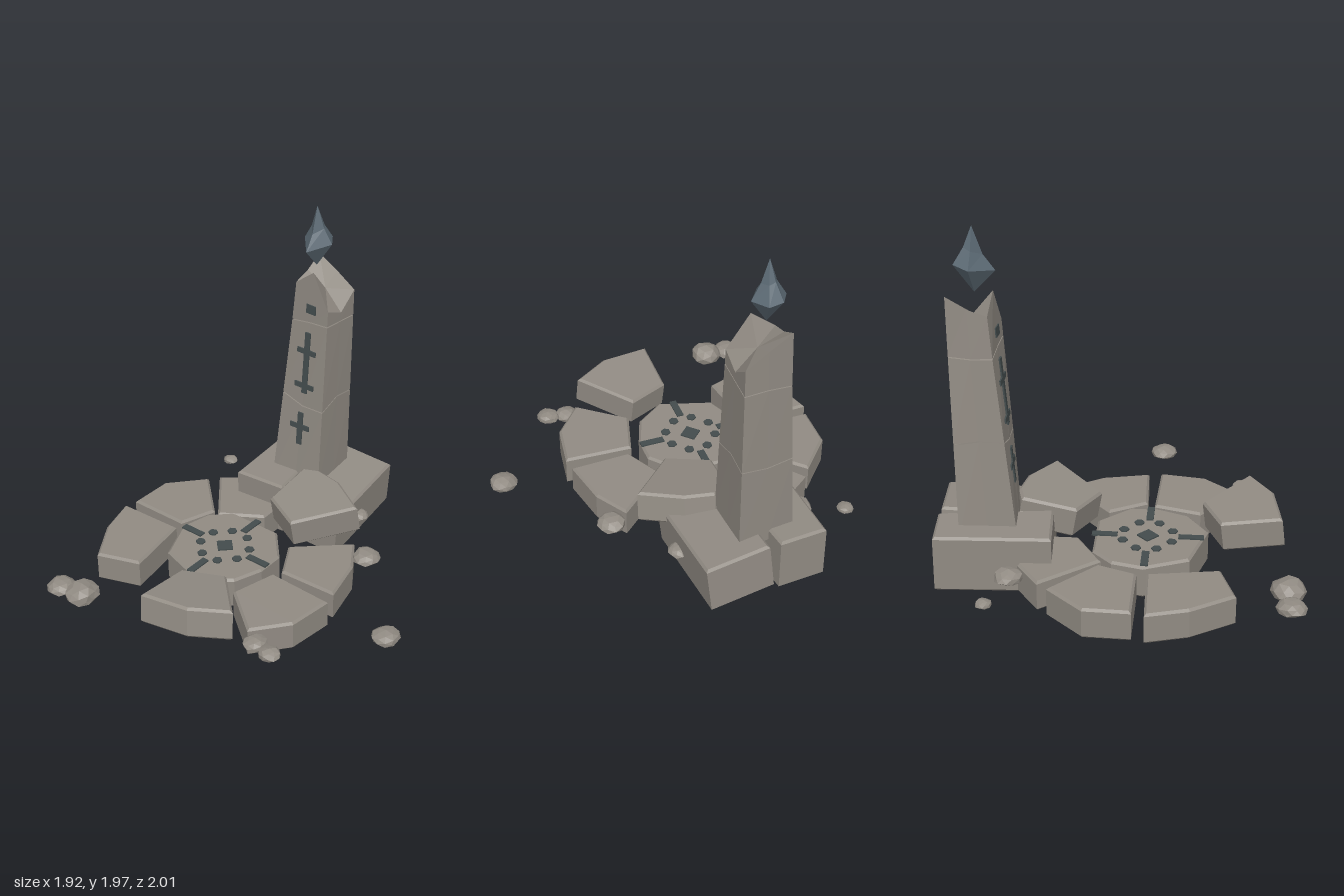
import * as THREE from 'three';

const mat = (name, color) => {
  const m = new THREE.MeshStandardMaterial({ color });
  m.name = name;
  return m;
};

export function createModel() {
  const model = new THREE.Group();
  model.name = 'ruinedShrine';
  const stone = mat('stone', 0x918b83);
  const glyph = mat('carvedGlyph', 0x434c4d);
  const crystal = mat('crystal', 0x5b6973);

  const add = (name, geo, material, parent = model) => {
    geo.computeVertexNormals();
    const mesh = new THREE.Mesh(geo, material);
    mesh.name = name;
    parent.add(mesh);
    return mesh;
  };

  // Chamfered block from a plan outline [x, z]; sx and sz tilt it,
  // y0 is the height of its underside at the first corner.
  function block(name, plan, y0, h, sx = 0, sz = 0, bevel = 0.013) {
    const shape = new THREE.Shape(plan.map(([x, z]) => new THREE.Vector2(x, -z)));
    const geo = new THREE.ExtrudeGeometry(shape, {
      depth: h - 2 * bevel, bevelThickness: bevel, bevelSize: bevel,
      bevelOffset: -bevel, bevelSegments: 1,
    });
    geo.rotateX(-Math.PI / 2).translate(0, bevel, 0);
    const p = geo.attributes.position;
    const [rx, rz] = plan[0];
    for (let i = 0; i < p.count; i++) {
      const x = p.getX(i), y = p.getY(i), z = p.getZ(i);
      p.setXYZ(i, x - sx * (y - h), y0 + y + sx * (x - rx) + sz * (z - rz), z - sz * (y - h));
    }
    return add(name, geo, stone);
  }

  // Flat-shaded skin over rings of [x, y, z], closed by a fan at each end
  function loft(rings, bottom, top) {
    const out = [];
    const n = rings[0].length, last = rings[rings.length - 1];
    for (let k = 0; k < n; k++) {
      const j = (k + 1) % n;
      for (let r = 0; r + 1 < rings.length; r++) {
        const a = rings[r][k], b = rings[r][j], c = rings[r + 1][k], d = rings[r + 1][j];
        out.push(...a, ...b, ...d, ...a, ...d, ...c);
      }
      out.push(...bottom, ...rings[0][j], ...rings[0][k]);
      out.push(...top, ...last[k], ...last[j]);
    }
    const geo = new THREE.BufferGeometry();
    geo.setAttribute('position', new THREE.Float32BufferAttribute(out, 3));
    return geo;
  }

  // Central slab
  block('centralSlab', [[-0.4, -0.13], [-0.08, -0.13], [0.07, 0.04], [0.07, 0.2], [0.01, 0.365],
    [-0.15, 0.48], [-0.45, 0.39], [-0.55, 0.15], [-0.51, -0.02]], 0.05, 0.187);

  // Ring of paving blocks, two of them lifted out of place
  const ring = [
    [[[-0.76, -0.33], [-0.51, -0.09], [-0.585, 0.12], [-0.945, 0.12], [-0.94, -0.13]], 0.05],
    [[[-0.965, 0.185], [-0.58, 0.17], [-0.515, 0.555], [-0.755, 0.64], [-0.9, 0.41]], 0.05],
    [[[-0.2, 0.875], [0.08, 0.83], [0.28, 0.7], [0.02, 0.44], [-0.21, 0.545]], 0.185, 0.06, 0.12],
    [[[0.125, 0.17], [0.51, 0.185], [0.475, 0.445], [0.32, 0.635], [0.055, 0.43]], 0.05],
    [[[0.32, -0.33], [0.435, -0.15], [0.495, 0.115], [0.155, 0.13], [0.04, -0.08]], 0.05],
    [[[0.025, -0.115], [0.28, -0.4], [0.06, -0.53], [-0.1, -0.56], [-0.2, -0.53], [-0.21, -0.23]],
      0.18, 0.03, -0.18],
    [[[-0.475, -0.075], [-0.245, -0.22], [-0.25, -0.54], [-0.55, -0.51], [-0.72, -0.385]], 0.05],
  ];
  ring.forEach(([plan, y0, sx, sz]) => block('pavingBlock', plan, y0, 0.175, sx, sz));

  // Two plinth slabs under the pillar
  block('plinthLeft', [[-0.575, -0.95], [-0.31, -0.97], [-0.215, -0.355], [-0.53, -0.33]], 0.05, 0.325, 0, -0.01);
  block('plinthRight', [[0.165, -0.375], [0.11, -0.995], [-0.25, -0.965], [-0.2, -0.35]], 0.01, 0.285, -0.1, -0.06);

  // Pillar: eight points around, front-left corner first, leaning in toward the top
  const base = [[-0.418, -0.525], [-0.262, -0.537], [-0.105, -0.55], [-0.112, -0.71],
    [-0.12, -0.865], [-0.28, -0.85], [-0.437, -0.835], [-0.427, -0.68]];
  const crown = [[-0.352, -0.65], [-0.225, -0.638], [-0.11, -0.625], [-0.11, -0.75],
    [-0.11, -0.87], [-0.23, -0.867], [-0.35, -0.862], [-0.351, -0.755]];
  const lerp = THREE.MathUtils.lerp;
  const pillarRing = (heights, lift = 0) => heights.map((h, k) => {
    const y = h + lift, t = Math.min((y - 0.3) / 1.2, 1);
    return [lerp(base[k][0], crown[k][0], t), y, lerp(base[k][1], crown[k][1], t)];
  });
  const cuts = [
    [0.3, 0.3, 0.3, 0.3, 0.3, 0.3, 0.3, 0.3],
    [0.845, 0.8, 0.8, 0.845, 0.825, 0.81, 0.83, 0.85],
    [1.305, 1.325, 1.335, 1.325, 1.315, 1.32, 1.31, 1.3],
    [1.535, 1.63, 1.43, 1.38, 1.475, 1.56, 1.635, 1.57],
  ];
  const centre = (i) => (i === 3 ? [-0.22, 1.5, -0.745] : [-0.24, cuts[i][1], -0.71]);
  const pillar = new THREE.Group();
  pillar.name = 'pillar';
  model.add(pillar);
  for (let i = 0; i < 3; i++) {
    const geo = loft([pillarRing(cuts[i], i ? 0.006 : 0), pillarRing(cuts[i + 1])], centre(i), centre(i + 1));
    add('pillarSection', geo, stone, pillar);
  }

  // Carved marks laid on the pillar's sloping front: centre x, y, width, height
  const frontZ = (x, y) => {
    const t = (y - 0.3) / 1.2;
    const s = (x - lerp(-0.418, -0.352, t)) / (lerp(-0.105, -0.11, t) - lerp(-0.418, -0.352, t));
    return lerp(lerp(-0.525, -0.65, t), lerp(-0.55, -0.625, t), s);
  };
  const marks = [[-0.228, 1.41, 0.066, 0.052], [-0.238, 1.078, 0.036, 0.375],
    [-0.24, 1.148, 0.13, 0.03], [-0.242, 0.935, 0.13, 0.03],
    [-0.252, 0.658, 0.034, 0.205], [-0.254, 0.67, 0.13, 0.03]];
  for (const [x, y, w, h] of marks) {
    const geo = new THREE.BoxGeometry(w, h, 0.0098).translate(x, y, 0.004);
    const p = geo.attributes.position;
    for (let i = 0; i < p.count; i++) p.setZ(i, p.getZ(i) + frontZ(p.getX(i), p.getY(i)));
    add('pillarMark', geo, glyph, pillar);
  }

  // Floor marks: diamond, four bars and eight hexagons
  const floor = new THREE.Group();
  floor.name = 'floorMarks';
  floor.position.set(-0.23, 0.24, 0.155);
  model.add(floor);
  add('diamondMark', new THREE.CylinderGeometry(0.06, 0.06, 0.0095, 4), glyph, floor).material.flatShading = true;
  for (let i = 0; i < 4; i++) {
    const a = i * Math.PI / 2;
    add('barMark', new THREE.BoxGeometry(0.138, 0.0095, 0.04).translate(0.234, 0, 0).rotateY(a), glyph, floor);
  }
  for (let i = 0; i < 8; i++) {
    const a = (i + 0.5) * Math.PI / 4;
    add('hexMark', new THREE.CylinderGeometry(0.028, 0.028, 0.0095, 6)
      .translate(0.143 * Math.cos(a), 0, 0.143 * Math.sin(a)), glyph, floor);
  }

  // Floating crystal: five sides, uneven girdle and a slim upper neck
  const girdle = [[-0.36, 1.775, -0.735], [-0.26, 1.75, -0.615], [-0.178, 1.775, -0.74],
    [-0.235, 1.78, -0.825], [-0.31, 1.79, -0.82]];
  const neck = girdle.map(([x, y, z]) => [lerp(-0.268, x, 0.45), y + 0.085, lerp(-0.725, z, 0.45)]);
  add('floatingCrystal', loft([girdle, neck], [-0.268, 1.635, -0.725], [-0.27, 1.985, -0.725]), crystal);

  // Scattered rocks with flat undersides: x, z, radius
  const rocks = [[0.88, 0.18, 0.08], [-0.845, -0.64, 0.046], [0.405, -0.325, 0.082], [0.375, 0.64, 0.068],
    [0.485, 0.66, 0.064], [-0.755, 0.92, 0.082], [-0.615, 0.905, 0.095], [-0.59, -0.55, 0.083], [0.13, -0.64, 0.06]];
  rocks.forEach(([x, z, r], n) => {
    const geo = new THREE.IcosahedronGeometry(1, 1);
    const p = geo.attributes.position;
    const v = new THREE.Vector3();
    for (let i = 0; i < p.count; i++) {
      v.fromBufferAttribute(p, i);
      v.multiplyScalar(0.97 + 0.07 * Math.sin(5 * v.x + 7 * v.y + 3 * v.z + n * 2));
      p.setXYZ(i, v.x, Math.max(v.y, -0.3), v.z);
    }
    const h = r * (r > 0.09 ? 0.75 : 0.55);
    geo.scale(r, h, r).translate(x, 0.157 + 0.3 * h, z);
    add('rock', geo, stone);
  });

  stone.flatShading = glyph.flatShading = crystal.flatShading = true;
  return model;
}
